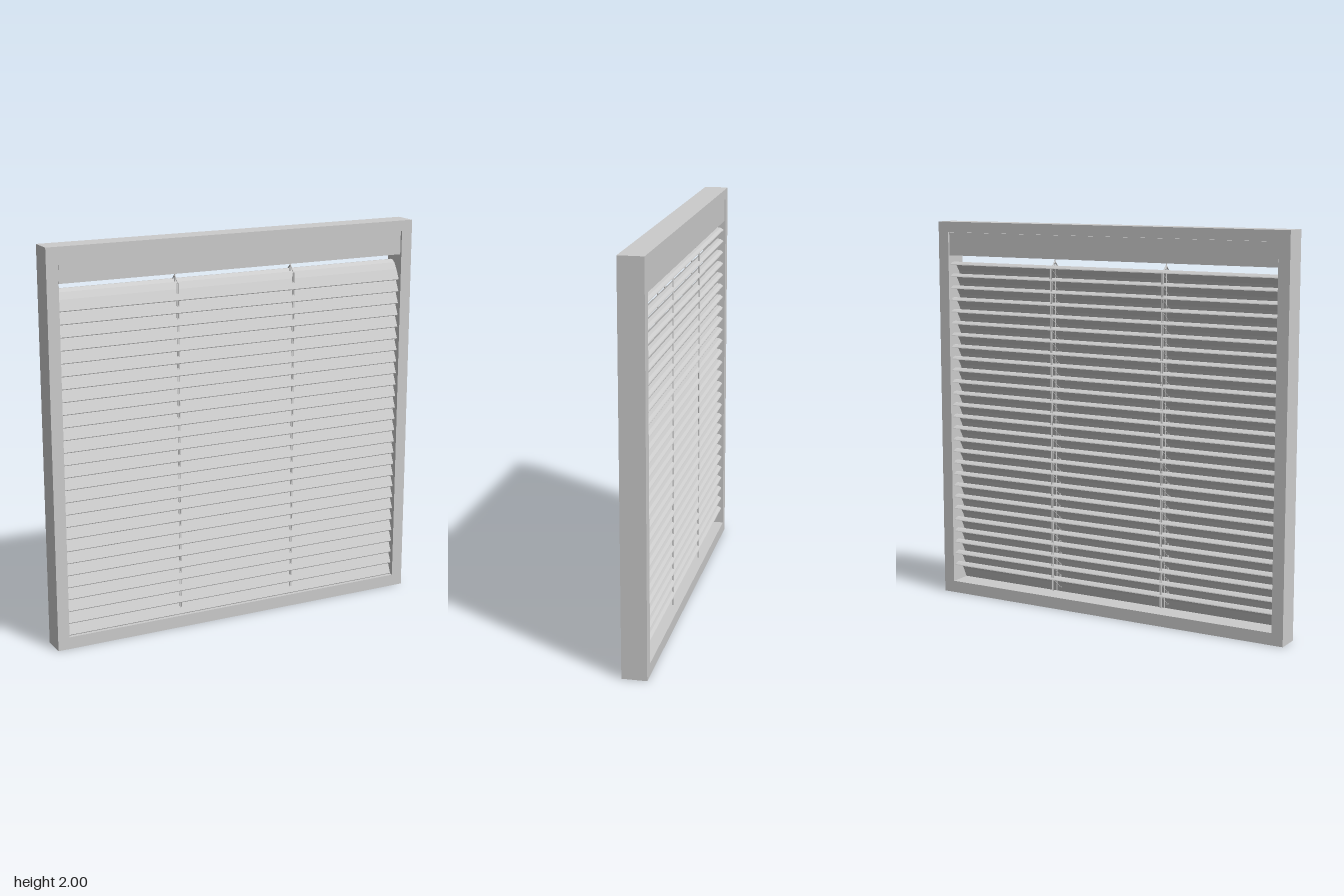
import * as THREE from 'three';

const material = new THREE.MeshStandardMaterial({ color: 0xcccccc, flatShading: true });

function add(parent, name, geometry, x = 0, y = 0, z = 0) {
  const mesh = new THREE.Mesh(geometry, material);
  mesh.name = name;
  mesh.position.set(x, y, z);
  parent.add(mesh);
  return mesh;
}

// Thin crowned slat: cross-section in (z, y), extruded along x
function slatGeometry(length, thickness) {
  const top = [[0.05, -0.096], [0.026, -0.046], [0.004, -0.014], [-0.018, 0], [-0.036, -0.002], [-0.05, -0.011]];
  const under = top.map(([z, y]) => [z - thickness * 0.5, y - thickness]).reverse();
  const shape = new THREE.Shape([...top, ...under].map(([z, y]) => new THREE.Vector2(-z, y)));
  const geometry = new THREE.ExtrudeGeometry(shape, { depth: length, bevelEnabled: false });
  geometry.translate(0, 0, -length / 2);
  geometry.rotateY(Math.PI / 2);
  return geometry;
}

// Straight cord between two points
function cord(parent, name, from, to, radius) {
  const a = new THREE.Vector3(...from), b = new THREE.Vector3(...to);
  const mesh = add(parent, name, new THREE.CylinderGeometry(radius, radius, a.distanceTo(b), 6));
  mesh.position.copy(a).add(b).multiplyScalar(0.5);
  mesh.quaternion.setFromUnitVectors(new THREE.Vector3(0, 1, 0), b.sub(a).normalize());
}

export function createModel() {
  const model = new THREE.Group();
  model.name = 'windowBlind';

  // Window frame with rectangular opening
  const outline = new THREE.Shape();
  outline.moveTo(-1, 0).lineTo(1, 0).lineTo(1, 2).lineTo(-1, 2).closePath();
  const opening = new THREE.Path();
  opening.moveTo(-0.94, 0.062).lineTo(-0.94, 1.946).lineTo(0.94, 1.946).lineTo(0.94, 0.062).closePath();
  outline.holes.push(opening);
  add(model, 'frame', new THREE.ExtrudeGeometry(outline, { depth: 0.124, bevelEnabled: false }), 0, 0, -0.062);

  // Head rail
  add(model, 'headRail', new THREE.BoxGeometry(1.874, 0.12, 0.112), 0, 1.885, 0);

  // Stack of slats
  const slats = new THREE.Group();
  slats.name = 'slats';
  model.add(slats);
  const geometry = slatGeometry(1.872, 0.004);
  const count = 27, pitch = 0.0625, topY = 1.79;
  for (let i = 0; i < count; i++) add(slats, 'slat', geometry, 0, topY - i * pitch, 0);

  // Ladder cords: one strand from the rail splitting to front and back
  for (const x of [-0.32, 0.32]) {
    const ladder = new THREE.Group();
    ladder.name = 'ladderCord';
    model.add(ladder);
    cord(ladder, 'liftCord', [x, 1.83, 0], [x, 0.08, 0], 0.003);
    for (const z of [0.034, -0.04]) {
      cord(ladder, 'cordFork', [x, 1.81, 0], [x, 1.775, z], 0.003);
      for (const dx of [-0.004, 0.004]) cord(ladder, 'ladderStrand', [x + dx, 1.775, z], [x + dx, 0.09, z], 0.003);
    }
    // Rungs carrying each slat
    for (let i = 0; i < count; i++) {
      const y = topY - i * pitch;
      cord(ladder, 'rung', [x, y - 0.072, 0.034], [x, y - 0.014, -0.04], 0.002);
    }
  }
  return model;
}
